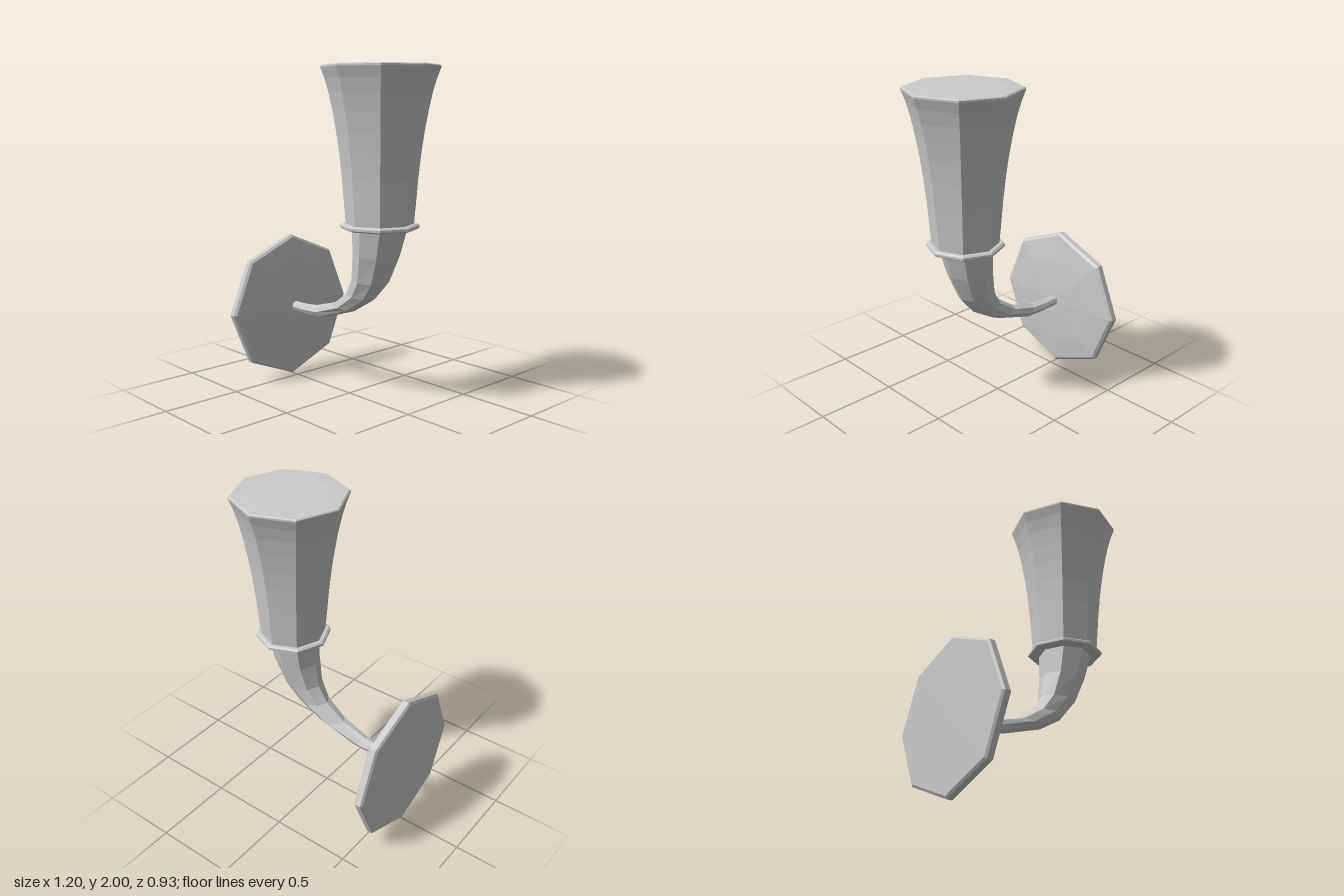
import * as THREE from 'three';

const SIDES = 8;
const material = new THREE.MeshStandardMaterial({ color: 0xcccccc, flatShading: true });

// Eight-sided turned part from [radius, height] pairs, listed bottom to top
function turned(name, profile) {
  const points = profile.map(([r, h]) => new THREE.Vector2(r, h));
  const mesh = new THREE.Mesh(new THREE.LatheGeometry(points, SIDES), material);
  mesh.name = name;
  return mesh;
}

// Skin through octagonal sections: [inner x, inner y, outer x, outer y, half depth]
function curvedArm(sections) {
  const positions = [], index = [];
  for (const [ix, iy, ox, oy, depth] of sections) {
    for (let j = 0; j < SIDES; j++) {
      const a = (j / SIDES) * Math.PI * 2, t = (1 + Math.cos(a)) / 2;
      positions.push(ix + (ox - ix) * t, iy + (oy - iy) * t, depth * Math.sin(a));
    }
  }
  for (let k = 0; k < sections.length - 1; k++) {
    for (let j = 0; j < SIDES; j++) {
      const a = k * SIDES + j, b = k * SIDES + (j + 1) % SIDES;
      index.push(a, a + SIDES, b, b, a + SIDES, b + SIDES);
    }
  }
  const geometry = new THREE.BufferGeometry();
  geometry.setAttribute('position', new THREE.Float32BufferAttribute(positions, 3));
  geometry.setIndex(index);
  geometry.computeVertexNormals();
  const mesh = new THREE.Mesh(geometry, material);
  mesh.name = 'arm';
  return mesh;
}

export function createModel() {
  const group = new THREE.Group();
  group.name = 'wallSconce';

  // Wall plate: bevelled rim and a shallow domed face, turned towards +x
  const plate = turned('wallPlate', [
    [0, -0.6], [0.45, -0.6], [0.466, -0.59], [0.466, -0.555],
    [0.45, -0.542], [0.3, -0.525], [0.1, -0.512], [0, -0.51],
  ]);
  plate.rotation.z = -Math.PI / 2;
  plate.position.y = 0.466;
  group.add(plate);

  // Arm: thin at the plate, sweeping up and widening under the collar
  group.add(curvedArm([
    [-0.52, 0.497, -0.52, 0.437, 0.032],
    [-0.41, 0.497, -0.40, 0.432, 0.037],
    [-0.30, 0.507, -0.23, 0.44, 0.046],
    [-0.13, 0.556, 0.045, 0.53, 0.064],
    [0.0, 0.645, 0.205, 0.625, 0.08],
    [0.063, 0.745, 0.30, 0.735, 0.106],
    [0.092, 0.9, 0.37, 0.9, 0.138],
    [0.097, 1.075, 0.423, 1.075, 0.163],
  ]));

  // Collar between arm and cup
  const collar = turned('collar', [
    [0, 1.062], [0.218, 1.062], [0.23, 1.07], [0.23, 1.084], [0.218, 1.093], [0, 1.093],
  ]);
  // Flared cup with a closed top
  const cup = turned('cup', [
    [0, 1.08], [0.197, 1.08], [0.207, 1.2], [0.219, 1.35], [0.235, 1.5], [0.252, 1.62],
    [0.273, 1.74], [0.295, 1.84], [0.318, 1.92], [0.341, 1.98], [0.341, 1.99],
    [0.333, 1.996], [0.24, 2], [0, 2],
  ]);
  for (const part of [collar, cup]) {
    part.position.x = 0.259;
    group.add(part);
  }
  return group;
}
